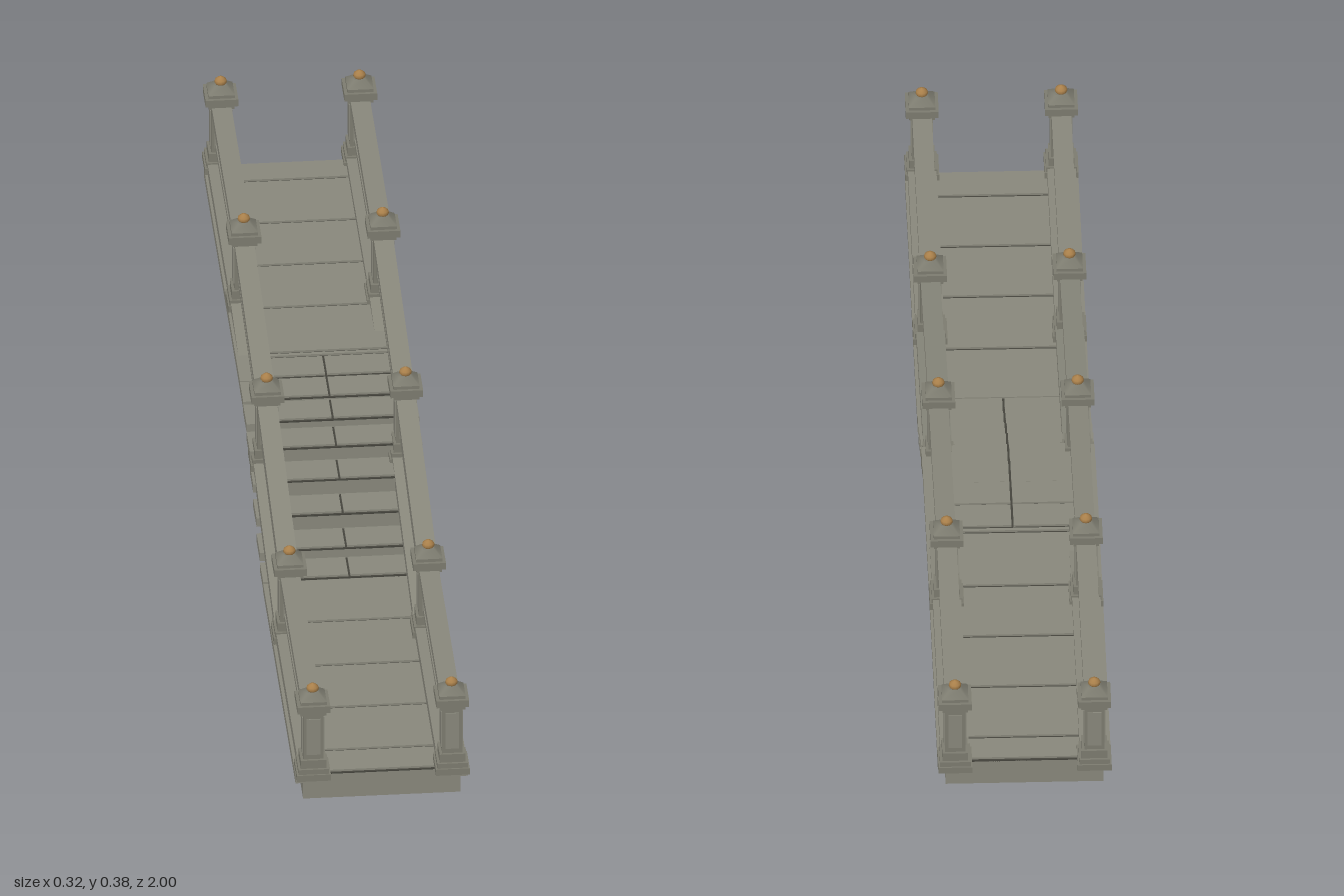
import * as THREE from 'three';

const mat = (name, color) => {
  const m = new THREE.MeshStandardMaterial({ color });
  m.name = name;
  return m;
};

export function createModel() {
  const stone = mat('stone', 0x89887c);
  const trim = mat('trim stone', 0x7d7c70);
  const joint = mat('dark joint', 0x45443d);
  const bronze = mat('bronze', 0xa87f4a);
  const bridge = new THREE.Group();
  bridge.name = 'steppedBridge';

  const add = (parent, name, geo, material, x, y, z) => {
    const mesh = new THREE.Mesh(geo, material);
    mesh.name = name;
    mesh.position.set(x, y, z);
    parent.add(mesh);
    return mesh;
  };
  // Box given by its width, y range and z range
  const slab = (parent, name, material, x, w, y0, y1, z0, z1) =>
    add(parent, name, new THREE.BoxGeometry(w, y1 - y0, Math.abs(z1 - z0)), material, x, (y0 + y1) / 2, (z0 + z1) / 2);

  // One deck section: narrow underside, wider edge course
  const section = (name, z0, z1, y) => {
    const g = new THREE.Group();
    g.name = name;
    slab(g, 'underside', stone, 0, 0.288, y, y + 0.034, z0, z1);
    slab(g, 'edgeCourse', stone, 0, 0.316, y + 0.033, y + 0.05, z0, z1);
    bridge.add(g);
    return g;
  };
  const gap = 0.004;
  const plank = (g, x, w, y, z0, z1) =>
    slab(g, 'plank', stone, x, w, y + 0.0495, y + 0.056, z0 - gap, z1 + gap);
  const bed = (g, y, z0, z1) =>
    slab(g, 'plankJoints', joint, 0, 0.254, y + 0.0495, y + 0.052, z0, z1);

  // Flat landings at the bottom and the top
  const landing = (name, edges, y) => {
    const z0 = edges[0], z1 = edges[edges.length - 1];
    const g = section(name, z0, z1, y);
    bed(g, y, z0, z1);
    for (let i = 0; i + 1 < edges.length; i++) plank(g, 0, 0.258, y, edges[i], edges[i + 1]);
  };
  landing('lowerLanding', [0.965, 0.89, 0.74, 0.59, 0.435, 0.285], 0);
  landing('upperLanding', [-0.275, -0.29, -0.45, -0.6, -0.75, -0.9, -0.965], 0.138);

  // Steps between the landings, each split along the middle
  const rises = [0.004, 0.024, 0.055, 0.086, 0.114, 0.13, 0.136, 0.138];
  rises.forEach((y, i) => {
    const z0 = 0.285 - i * 0.07, z1 = z0 - 0.07;
    const g = section('step', z0, z1, y);
    bed(g, y, z0, z1);
    for (const s of [-1, 1]) plank(g, s * 0.0655, 0.127, y, z0, z1);
  });

  // Four-sided frustum lying square to the axes
  const frustum = (top, bottom, h) =>
    new THREE.CylinderGeometry(top * Math.SQRT2, bottom * Math.SQRT2, h, 4).rotateY(Math.PI / 4).toNonIndexed();

  const finialGeo = new THREE.LatheGeometry(
    [[0, 0], [0.009, 0], [0.0115, 0.004], [0.0105, 0.009], [0.006, 0.013], [0, 0.016]].map(p => new THREE.Vector2(...p)), 12);

  const makePost = (x, y, z) => {
    const g = new THREE.Group();
    g.name = 'post';
    g.position.set(x, y, z);
    const block = (name, half, y0, y1, m = trim) => slab(g, name, m, 0, half * 2, y0, y1, -half, half);
    block('plinth', 0.031, 0, 0.013);
    block('plinthStep', 0.028, 0.013, 0.023);
    block('base', 0.0235, 0.023, 0.04);
    block('shaft', 0.0185, 0.04, 0.135);
    // Raised panels on all four faces
    slab(g, 'panelAcross', stone, 0, 0.041, 0.05, 0.125, -0.0125, 0.0125);
    slab(g, 'panelAlong', stone, 0, 0.025, 0.05, 0.125, -0.0205, 0.0205);
    block('neck', 0.0235, 0.134, 0.143);
    block('cap', 0.03, 0.143, 0.157);
    block('capStep', 0.024, 0.157, 0.163);
    add(g, 'capSlope', frustum(0.01, 0.024, 0.013), trim, 0, 0.1695, 0);
    add(g, 'finial', finialGeo, bronze, 0, 0.175, 0);
    bridge.add(g);
  };

  // Straight bar between two heights, top faces at y0 and y1
  const bar = (g, name, m, x, w, h, y0, z0, y1, z1) => {
    const mesh = add(g, name, new THREE.BoxGeometry(w, h, Math.hypot(z1 - z0, y1 - y0)), m,
      x, (y0 + y1) / 2 - h / 2, (z0 + z1) / 2);
    mesh.rotation.x = Math.atan2(y1 - y0, z0 - z1);
  };

  const stations = [[0.968, 0.056], [0.48, 0.056], [0, 0.136], [-0.48, 0.188], [-0.968, 0.188]];
  for (const side of [-1, 1]) {
    const x = side * 0.127;
    stations.forEach(([z, y]) => makePost(x, y, z));
    // Railings between neighbouring posts
    for (let i = 0; i + 1 < stations.length; i++) {
      const [z0, y0] = stations[i], [z1, y1] = stations[i + 1];
      const g = new THREE.Group();
      g.name = 'railing';
      bar(g, 'handrail', stone, x, 0.036, 0.017, y0 + 0.137, z0, y1 + 0.137, z1);
      bar(g, 'middleRail', stone, x, 0.022, 0.011, y0 + 0.058, z0, y1 + 0.058, z1);
      bar(g, 'curb', stone, x, 0.052, 0.021, y0 + 0.02, z0, y1 + 0.02, z1);
      // Short pendants under the handrail
      for (const t of [0.27, 0.72]) {
        const z = z0 + (z1 - z0) * t, y = y0 + (y1 - y0) * t;
        slab(g, 'pendant', trim, x, 0.01, y + 0.09, y + 0.126, z - 0.005, z + 0.005);
      }
      bridge.add(g);
    }
  }
  return bridge;
}
